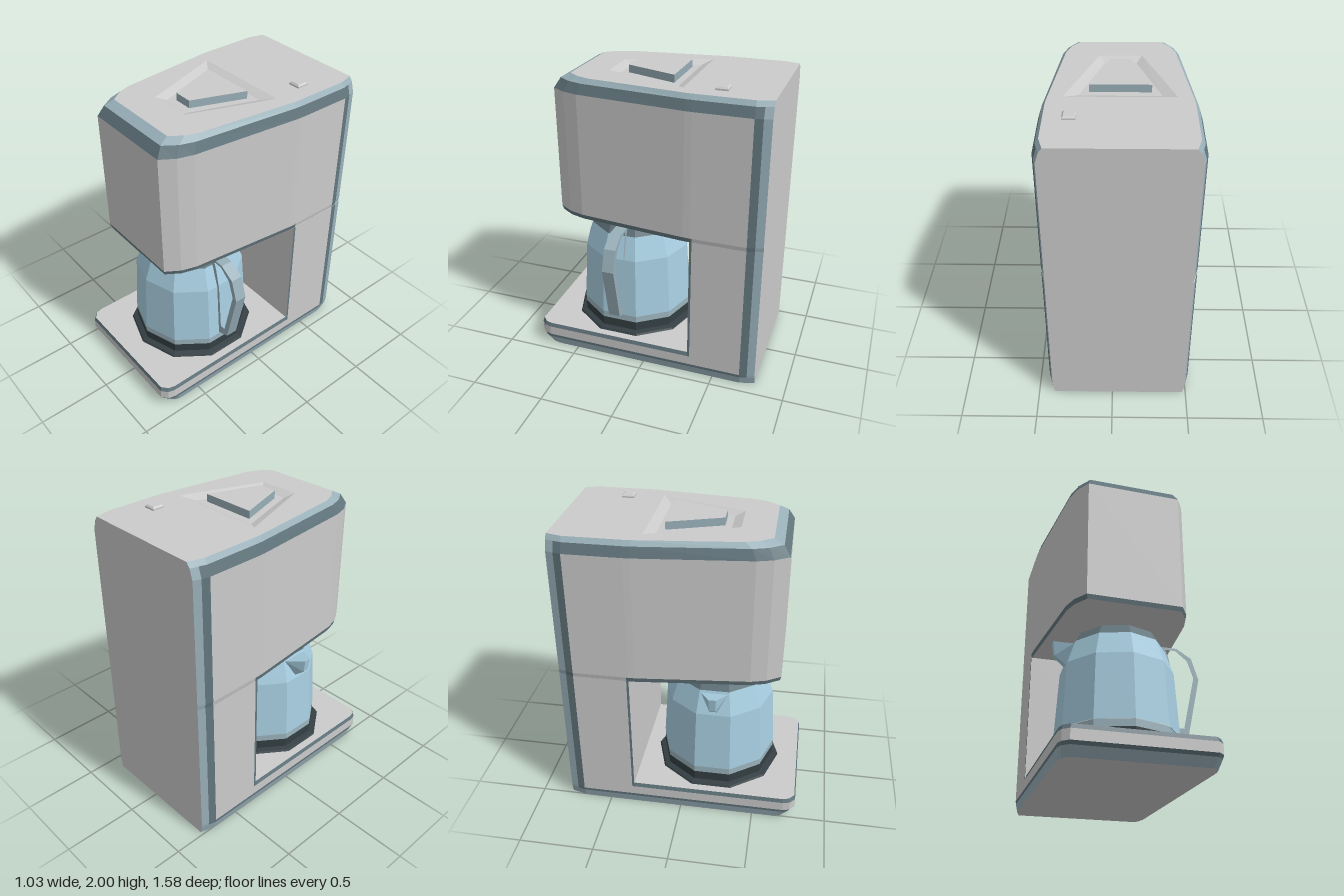
import * as THREE from 'three';
import { ConvexGeometry } from 'three/addons/geometries/ConvexGeometry.js';

const mat = (name, color) => {
  const m = new THREE.MeshStandardMaterial({ color });
  m.name = name;
  return m;
};

export function createModel() {
  const shell = mat('shellGrey', 0xcbcbcb);
  const steel = mat('paleSteel', 0x99b0b9);
  const trim = mat('darkTrim', 0x63777e);
  const glass = mat('blueGlass', 0xa8cfe2);
  const black = mat('charcoal', 0x343f43);
  const CX = -0.042, CZ = 0.205;
  const root = new THREE.Group();
  root.name = 'coffeeMachine';

  const add = (parent, name, geo, material) => {
    const g = geo.index ? geo.toNonIndexed() : geo;
    g.computeVertexNormals();
    const m = new THREE.Mesh(g, material);
    m.name = name;
    parent.add(m);
    return m;
  };
  const group = (name) => {
    const g = new THREE.Group();
    g.name = name;
    root.add(g);
    return g;
  };

  // Full plan outline from its right half, listed back to front
  const mirror = (half) => [
    ...half.map(([x, z]) => [CX + x, z]),
    ...half.slice().reverse().map(([x, z]) => [CX - x, z]),
  ];

  // Walls between stacked plan outlines [y, points]; pick(band, zBack, zFront) gives the colour
  const loft = (parent, name, rings, pick) => {
    const buckets = new Map();
    for (let i = 0; i < rings.length - 1; i++) {
      const [y0, lo] = rings[i], [y1, hi] = rings[i + 1];
      lo.forEach((p, j) => {
        const k = (j + 1) % lo.length;
        const a = [p[0], y0, p[1]], b = [lo[k][0], y0, lo[k][1]];
        const c = [hi[k][0], y1, hi[k][1]], d = [hi[j][0], y1, hi[j][1]];
        const m = pick(i, Math.min(p[1], b[2]), Math.max(p[1], b[2]));
        if (!buckets.has(m)) buckets.set(m, []);
        buckets.get(m).push(...a, ...d, ...c, ...a, ...c, ...b);
      });
    }
    for (const [m, pos] of buckets) {
      const g = new THREE.BufferGeometry();
      g.setAttribute('position', new THREE.Float32BufferAttribute(pos, 3));
      add(parent, `${name} ${m.name}`, g, m);
    }
  };

  // Flat horizontal face, optionally with a hole
  const cap = (parent, name, pts, y, up, material, hole) => {
    const s = up ? -1 : 1;
    const v = (list) => list.map(([x, z]) => new THREE.Vector2(x, s * z));
    const shape = new THREE.Shape(v(pts));
    if (hole) shape.holes.push(new THREE.Path(v(hole)));
    const g = new THREE.ShapeGeometry(shape);
    g.rotateX(s * Math.PI / 2);
    g.translate(0, y, 0);
    add(parent, name, g, material);
  };

  // Rear edge strips shared by base, column and head
  const rear = [[0.45, -0.79], [0.464, -0.74], [0.477, -0.69], [0.477, -0.34], [0.477, -0.325]];
  const rearColour = (z0, z1) => {
    if (z1 < -0.78) return shell;
    if (z1 < -0.73) return steel;
    return z1 < -0.68 ? trim : null;
  };

  // Base
  const base = group('base');
  const basePlan = (inset, front) => mirror(
    [...rear, [0.477, front - 0.08], [0.465, front - 0.035], [0.425, front]].map(([x, z]) => [x - inset, z]));
  const baseRings = [
    [0, basePlan(0.015, 0.73)], [0.055, basePlan(0.002, 0.775)], [0.075, basePlan(0, 0.79)],
    [0.14, basePlan(0, 0.79)], [0.168, basePlan(0.008, 0.782)],
  ];
  loft(base, 'baseWall', baseRings, (i, z0, z1) => {
    if (z1 < -0.78) return shell;
    if (i === 0) return steel;
    return rearColour(z0, z1) || (i === 1 || (i === 3 && z1 > -0.33) ? trim : shell);
  });
  cap(base, 'baseTop', baseRings[4][1], 0.168, true, shell);
  cap(base, 'baseUnderside', baseRings[0][1], 0, false, shell);

  // Rear column
  const column = group('column');
  const colPlan = mirror(rear);
  loft(column, 'columnWall', [[0.14, colPlan], [1.03, colPlan]], (i, z0, z1) =>
    rearColour(z0, z1) || (z1 > -0.33 && z0 < -0.33 ? trim : shell));

  // Head with tapered front
  const head = group('head');
  const headPlan = (inset, dz) => mirror(
    [...rear, [0.475, -0.28], [0.398, 0.44], [0.368, 0.54], [0.31, 0.63]]
      .map(([x, z]) => [x - inset, z - dz * Math.max(0, z) / 0.63]));
  const topPlan = headPlan(0.042, 0.1);
  const headRings = [
    [1.025, headPlan(0.006, 0.008)], [1.055, headPlan(0, 0)], [1.88, headPlan(0, 0)],
    [1.945, headPlan(0.02, 0.04)], [1.975, topPlan],
  ];
  loft(head, 'headWall', headRings, (i, z0, z1) => {
    if (z1 < -0.78) return shell;
    if (i === 3) return steel;
    return rearColour(z0, z1) || (i === 2 || (i === 0 && z1 > -0.33) ? trim : shell);
  });
  cap(head, 'headUnderside', headRings[0][1], 1.025, false, shell);

  // Sunken trapezoid in the top, with a raised lid plate
  const trapezoid = (back, front, zb, zf) => mirror([[back, zb], [front, zf]]);
  const rim = trapezoid(0.337, 0.137, -0.23, 0.325);
  const floor = trapezoid(0.25, 0.1, -0.17, 0.265);
  const plate = trapezoid(0.188, 0.063, -0.125, 0.22);
  cap(head, 'headTop', topPlan, 1.975, true, shell, rim);
  loft(head, 'recessWall', [[1.975, rim], [1.95, floor]], () => shell);
  cap(head, 'recessFloor', floor, 1.95, true, shell);
  loft(head, 'lidPlateEdge', [[1.95, plate], [2, plate]], () => steel);
  cap(head, 'lidPlateTop', plate, 2, true, shell);

  // Power button
  const square = (r) => [[r, -r], [r, r], [-r, r], [-r, -r]].map(([x, z]) => [0.245 + x, -0.458 + z]);
  loft(head, 'button', [[1.975, square(0.04)], [1.985, square(0.04)], [1.995, square(0.03)]], () => shell);
  cap(head, 'buttonTop', square(0.03), 1.995, true, shell);

  // Ten-sided turned parts: hot plate, jug, lid and drip nozzle
  const turned = (parent, name, material, profile) => {
    const pts = profile.map(([r, y]) => new THREE.Vector2(r, y));
    const g = new THREE.LatheGeometry(pts, 10);
    g.translate(CX, 0, CZ);
    add(parent, name, g, material);
  };
  const jug = group('jug');
  turned(base, 'hotPlate', black, [[0.44, 0.165], [0.43, 0.18], [0.39, 0.188], [0, 0.188]]);
  turned(jug, 'jugFoot', black, [[0, 0.186], [0.395, 0.186], [0.395, 0.252]]);
  turned(jug, 'jugBand', steel, [[0.395, 0.252], [0.392, 0.3]]);
  turned(jug, 'jugGlass', glass, [[0.397, 0.3], [0.37, 0.73], [0.315, 0.89]]);
  turned(jug, 'jugCollar', trim, [[0.315, 0.89], [0.278, 0.957], [0, 0.957]]);
  turned(jug, 'jugLid', black, [[0.135, 0.957], [0.135, 0.974], [0, 0.974]]);
  turned(head, 'dripNozzle', black, [[0, 0.987], [0.045, 0.987], [0.075, 1.005], [0.075, 1.026]]);

  // Spout
  const spout = [];
  for (const s of [-1, 1]) {
    for (const [x, y, w] of [[-0.47, 0.905, 0.025], [-0.457, 0.81, 0.02], [-0.39, 0.755, 0.025],
      [-0.35, 0.875, 0.09], [-0.33, 0.77, 0.05]]) {
      spout.push(new THREE.Vector3(x, y, CZ + s * w));
    }
  }
  add(jug, 'spout', new ConvexGeometry(spout), glass);

  // Handle loop
  const v2 = (list) => list.map(([x, y]) => new THREE.Vector2(x, y));
  const loop = new THREE.Shape(v2([[0.245, 0.952], [0.365, 0.952], [0.467, 0.89], [0.513, 0.743],
    [0.427, 0.35], [0.338, 0.317], [0.318, 0.73], [0.27, 0.89]]));
  loop.holes.push(new THREE.Path(v2([[0.285, 0.935], [0.357, 0.933], [0.437, 0.868], [0.477, 0.75],
    [0.397, 0.392], [0.358, 0.392], [0.337, 0.73], [0.305, 0.88]])));
  const handle = new THREE.ExtrudeGeometry(loop, { depth: 0.08, bevelEnabled: false });
  handle.translate(0, 0, CZ - 0.04);
  add(jug, 'handle', handle, steel);

  return root;
}
